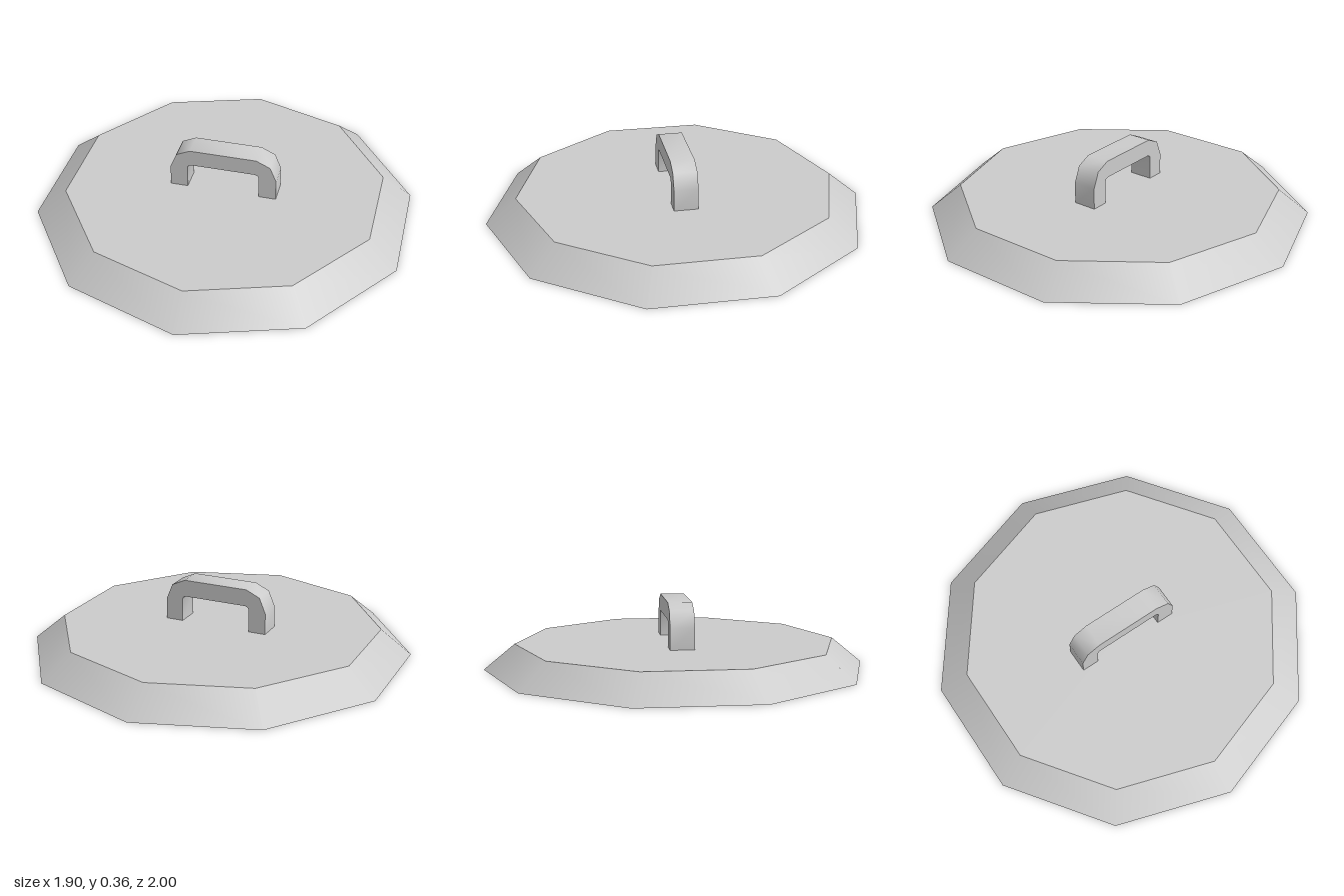
import * as THREE from 'three';
import { toCreasedNormals } from 'three/addons/utils/BufferGeometryUtils.js';

const SIDES = 10;
const TOP = 0.132;
const material = new THREE.MeshStandardMaterial({ color: 0xcccccc });

// One ring of the lid: smooth around, sharp against its neighbours
function lidRing(name, from, to) {
  const points = [new THREE.Vector2(...from), new THREE.Vector2(...to)];
  const mesh = new THREE.Mesh(new THREE.LatheGeometry(points, SIDES), material);
  mesh.name = name;
  return mesh;
}

// Ten-sided lid with a bevelled rim and a hollow underside
function createLid() {
  const lid = new THREE.Group();
  lid.name = 'lid';
  const floor = TOP - 0.003;
  lid.add(
    lidRing('recessFloor', [0, floor], [0.715, floor]),
    lidRing('recessWall', [0.715, floor], [0.715, 0]),
    lidRing('rimUnderside', [0.715, 0], [1, 0]),
    lidRing('bevel', [1, 0], [0.84, TOP]),
    lidRing('topPlate', [0.84, TOP], [0, TOP])
  );
  return lid;
}

// Arched handle, extruded along z from a mirrored half outline
function createHandle() {
  const outer = [[0.282, TOP], [0.282, 0.244], [0.248, 0.325], [0.175, 0.359]];
  const inner = [[0.19, TOP], [0.19, 0.25], [0.184, 0.264], [0.17, 0.27]];
  const mirror = (points) => points.map(([x, y]) => [-x, y]).reverse();
  const outline = [...outer, ...mirror(outer), ...mirror(mirror(mirror(inner))).reverse(), ...[...inner].reverse()];
  const shape = new THREE.Shape(outline.map(([x, y]) => new THREE.Vector2(x, y)));
  const depth = 0.125;
  const geometry = new THREE.ExtrudeGeometry(shape, { depth, bevelEnabled: false });
  geometry.translate(0, 0, -depth / 2);
  const handle = new THREE.Mesh(toCreasedNormals(geometry, 0.8), material);
  handle.name = 'handle';
  return handle;
}

export function createModel() {
  const model = new THREE.Group();
  model.name = 'handledLid';
  model.add(createLid(), createHandle());
  return model;
}
